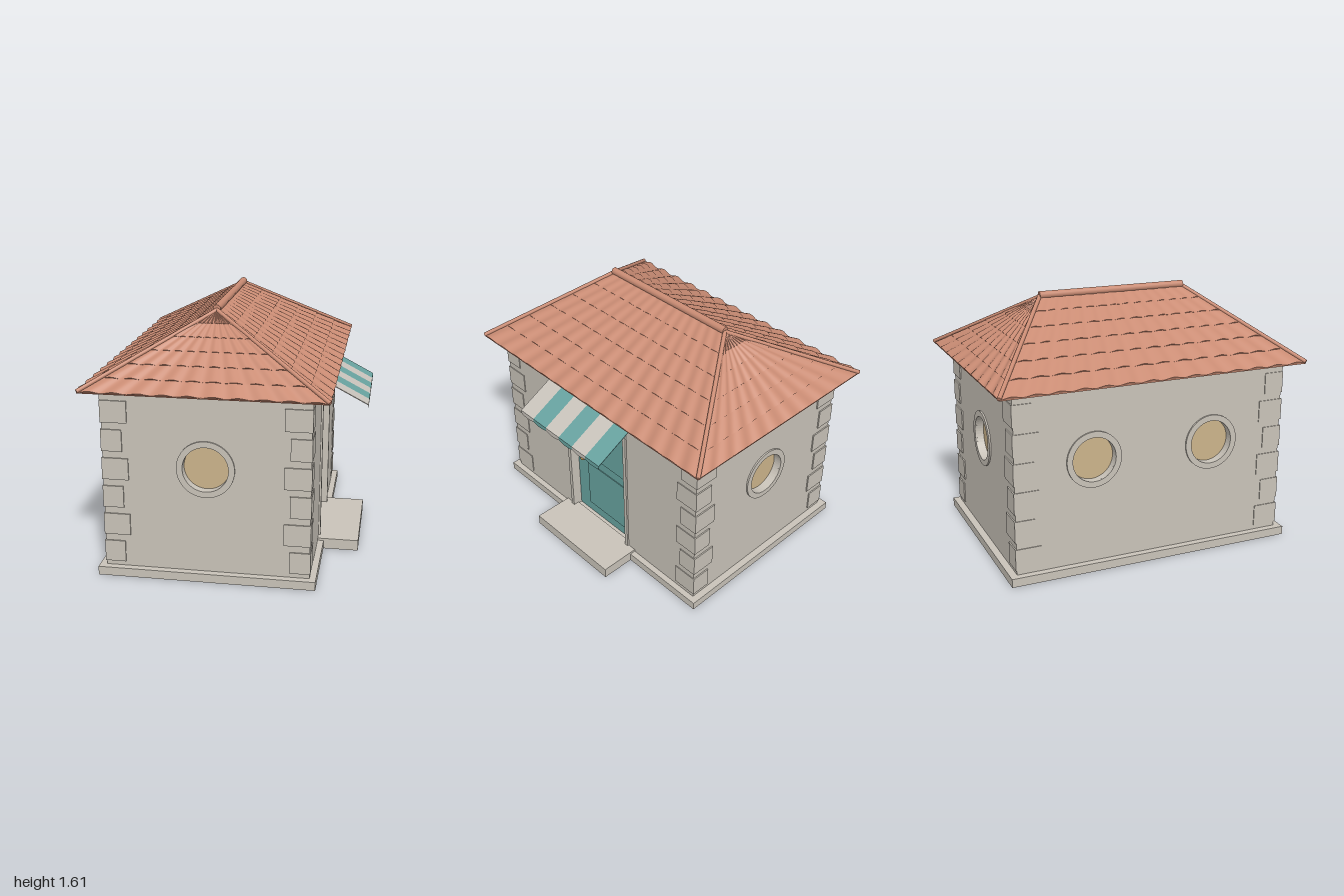
import * as THREE from 'three';

const mat = (name, color, side = THREE.FrontSide) => {
  const m = new THREE.MeshStandardMaterial({ color, side });
  m.name = name;
  return m;
};

const CX = -0.095, HX = 0.622, HZ = 0.885;   // house centre and half sizes
const Y0 = 0.05, Y1 = 1.172, WALL = 0.08;    // wall foot, wall top, thickness
const WIN_Y = 0.71, WIN_R = 0.138;

export function createModel() {
  const stone = mat('stone', 0xc9c3b9);
  const terracotta = mat('terracotta', 0xca8c74, THREE.DoubleSide);
  const teal = mat('teal', 0x68a3a0);
  const glass = mat('amber glass', 0xccb48b);
  const brass = mat('brass', 0xb08a4e);
  const cloth = mat('awning cloth', 0xc9c4bc, THREE.DoubleSide);
  const tealCloth = mat('teal awning cloth', 0x68a3a0, THREE.DoubleSide);

  const model = new THREE.Group();
  model.name = 'house';
  const add = (name, geo, material, parent = model) => {
    const m = new THREE.Mesh(geo, material);
    m.name = name;
    parent.add(m);
    return m;
  };
  // Box given by its limits on each axis
  const box = (name, x0, x1, y0, y1, z0, z1, material, parent) => {
    const m = add(name, new THREE.BoxGeometry(x1 - x0, y1 - y0, z1 - z0), material, parent);
    m.position.set((x0 + x1) / 2, (y0 + y1) / 2, (z0 + z1) / 2);
    return m;
  };

  // Base and doorstep
  box('plinth', -0.76, 0.566, 0.001, 0.055, -0.93, 0.93, stone);
  box('doorstep', 0.5, 0.787, 0.001, 0.07, -0.345, 0.345, stone);

  // Walls: local +z faces outwards
  const circle = (x, r) => new THREE.Path().absarc(x, WIN_Y, r, 0, Math.PI * 2, true);
  const rect = (P, x0, x1, y0, y1) => new P([[x0, y0], [x1, y0], [x1, y1], [x0, y1]].map(p => new THREE.Vector2(...p)));
  const wall = (name, half, dist, angle, windows, hole) => {
    const g = new THREE.Group();
    g.name = name;
    g.position.x = CX;
    g.rotation.y = angle;
    model.add(g);
    const s = rect(THREE.Shape, -half, half, Y0, Y1);
    windows.forEach(x => s.holes.push(circle(x, WIN_R)));
    if (hole) s.holes.push(hole);
    add('wallPanel', new THREE.ExtrudeGeometry(s, { depth: WALL, bevelEnabled: false, curveSegments: 24 }), stone, g)
      .position.z = dist - WALL;
    for (const x of windows) {
      const ring = new THREE.Shape().absarc(x, WIN_Y, 0.175, 0, Math.PI * 2);
      ring.holes.push(circle(x, WIN_R));
      add('windowRing', new THREE.ExtrudeGeometry(ring, { depth: 0.012, bevelEnabled: false, curveSegments: 20 }), stone, g)
        .position.z = dist - 0.002;
      add('windowPane', new THREE.CircleGeometry(WIN_R + 0.004, 24), glass, g)
        .position.set(x, WIN_Y, dist - 0.045);
    }
  };
  wall('frontWall', HX, HZ, 0, [0]);
  wall('backWall', HX, HZ, Math.PI, [0]);
  wall('leftSideWall', HZ, HX, -Math.PI / 2, [-0.39, 0.39]);
  wall('doorWall', HZ, HX, Math.PI / 2, [], rect(THREE.Path, -0.265, 0.265, 0.06, 1.015));

  // Frieze under the eaves
  box('frieze', CX - HX - 0.005, CX + HX + 0.005, 1.108, 1.172, -HZ - 0.004, HZ + 0.004, stone);

  // Corner stones, alternating long and short
  for (const sx of [-1, 1]) for (const sz of [-1, 1]) for (let i = 0; i < 6; i++) {
    const lx = i % 2 ? 0.162 : 0.127, lz = i % 2 ? 0.127 : 0.162, y = 0.083 + i * 0.1775;
    const q = add('cornerStone', new THREE.BoxGeometry(lx, 0.135, lz), stone);
    q.position.set(CX + sx * (HX + 0.005 - lx / 2), y + 0.0675, sz * (HZ + 0.008 - lz / 2));
  }

  // Door, panels, frame and knob
  const WX = CX + HX, DX = WX - 0.055;
  box('door', DX - 0.03, DX, 0, 1.02, -0.268, 0.268, teal);
  for (const [a, b] of [[0.13, 0.49], [0.56, 0.95]])
    box('doorPanel', DX, DX + 0.005, a, b, -0.2, 0.16, teal);
  for (const s of [-1, 1])
    box('doorJamb', WX - 0.06, WX + 0.012, 0.06, 1.04, s * 0.275 - 0.0125, s * 0.275 + 0.0125, stone);
  box('doorLintel', WX - 0.06, WX + 0.012, 1.013, 1.04, -0.2875, 0.2875, stone);
  add('doorKnob', new THREE.SphereGeometry(0.016, 16, 12), brass).position.set(DX + 0.018, 0.51, 0.2);

  // Awning: striped slope with a scalloped valance
  const run = 0.29, drop = 0.152, len = Math.hypot(run, drop), sw = 0.742 / 6;
  for (let i = 0; i < 6; i++) {
    const z = 0.371 - (i + 0.5) * sw, m = i % 2 ? tealCloth : cloth;
    const p = add('awningStripe', new THREE.BoxGeometry(len, 0.005, sw), m);
    p.position.set(WX + run / 2 + 0.003, 1.145 - drop / 2, z);
    p.rotation.z = -Math.atan2(drop, run);
    const v = new THREE.Shape();
    v.moveTo(-sw / 2, 0.994);
    v.lineTo(-sw / 2, 0.972);
    v.quadraticCurveTo(0, 0.95, sw / 2, 0.972);
    v.lineTo(sw / 2, 0.994);
    const f = add('awningValance', new THREE.ShapeGeometry(v, 8), m);
    f.rotation.y = Math.PI / 2;
    f.position.set(WX + run + 0.003, 0, z);
  }

  // Hipped roof: each slope is a fan of fluted tiles in overlapping rows
  const EY = 1.176, RY = 1.578, RX = 0.725, RZ = 0.99, RIDGE = 0.49, ROWS = 6;
  const V = (x, y, z) => new THREE.Vector3(x + CX, y, z);
  const slope = (name, a, b, c, d, flutes) => {   // eave a-b, ridge d-c
    const n = b.clone().sub(a).cross(d.clone().sub(a)).normalize();
    const N = flutes * 8, pos = [], idx = [];
    const line = (v, lip) => {
      const start = pos.length / 3;
      for (let i = 0; i <= N; i++) {
        const u = i / N, wave = Math.sin(u * flutes * Math.PI) ** 2;
        const p = a.clone().lerp(b, u).lerp(d.clone().lerp(c, u), v);
        p.addScaledVector(n, wave * (0.007 + lip) * (1 - 0.6 * v));
        pos.push(p.x, p.y, p.z);
      }
      return start;
    };
    const strip = (lo, hi) => {
      for (let i = 0; i < N; i++)
        idx.push(lo + i, lo + i + 1, hi + i + 1, lo + i, hi + i + 1, hi + i);
    };
    for (let r = 0; r < ROWS; r++) {
      const v0 = r / ROWS, v1 = (r + 1) / ROWS;
      strip(line(v0, 0.009), line(v1, 0));
      strip(line(v0, -0.007), line(v0, 0.009));   // lip of the row
    }
    const g = new THREE.BufferGeometry();
    g.setAttribute('position', new THREE.Float32BufferAttribute(pos, 3));
    g.setIndex(idx);
    g.computeVertexNormals();
    add(name, g, terracotta);
  };
  const eave = [V(-RX, EY, RZ), V(RX, EY, RZ), V(RX, EY, -RZ), V(-RX, EY, -RZ)];
  const rf = V(0, RY, RIDGE), rb = V(0, RY, -RIDGE);
  slope('frontRoof', eave[0], eave[1], rf, rf, 10);
  slope('doorSideRoof', eave[1], eave[2], rb, rf, 14);
  slope('backRoof', eave[2], eave[3], rb, rb, 10);
  slope('leftSideRoof', eave[3], eave[0], rf, rb, 14);
  box('soffit', CX - RX, CX + RX, 1.17, 1.177, -RZ, RZ, terracotta);

  // Ridge and hip caps
  const cap = (name, p, q, r) => {
    const d = q.clone().sub(p);
    const m = add(name, new THREE.CylinderGeometry(r, r, d.length(), 12), terracotta);
    m.position.copy(p).addScaledVector(d, 0.5);
    m.quaternion.setFromUnitVectors(new THREE.Vector3(0, 1, 0), d.normalize());
  };
  cap('ridgeCap', V(0, 1.585, RIDGE + 0.003), V(0, 1.585, -RIDGE - 0.003), 0.024);
  eave.forEach((e, i) => cap('hipCap', e.clone().setY(EY + 0.006), i === 0 || i === 1 ? rf : rb, 0.013));

  return model;
}
